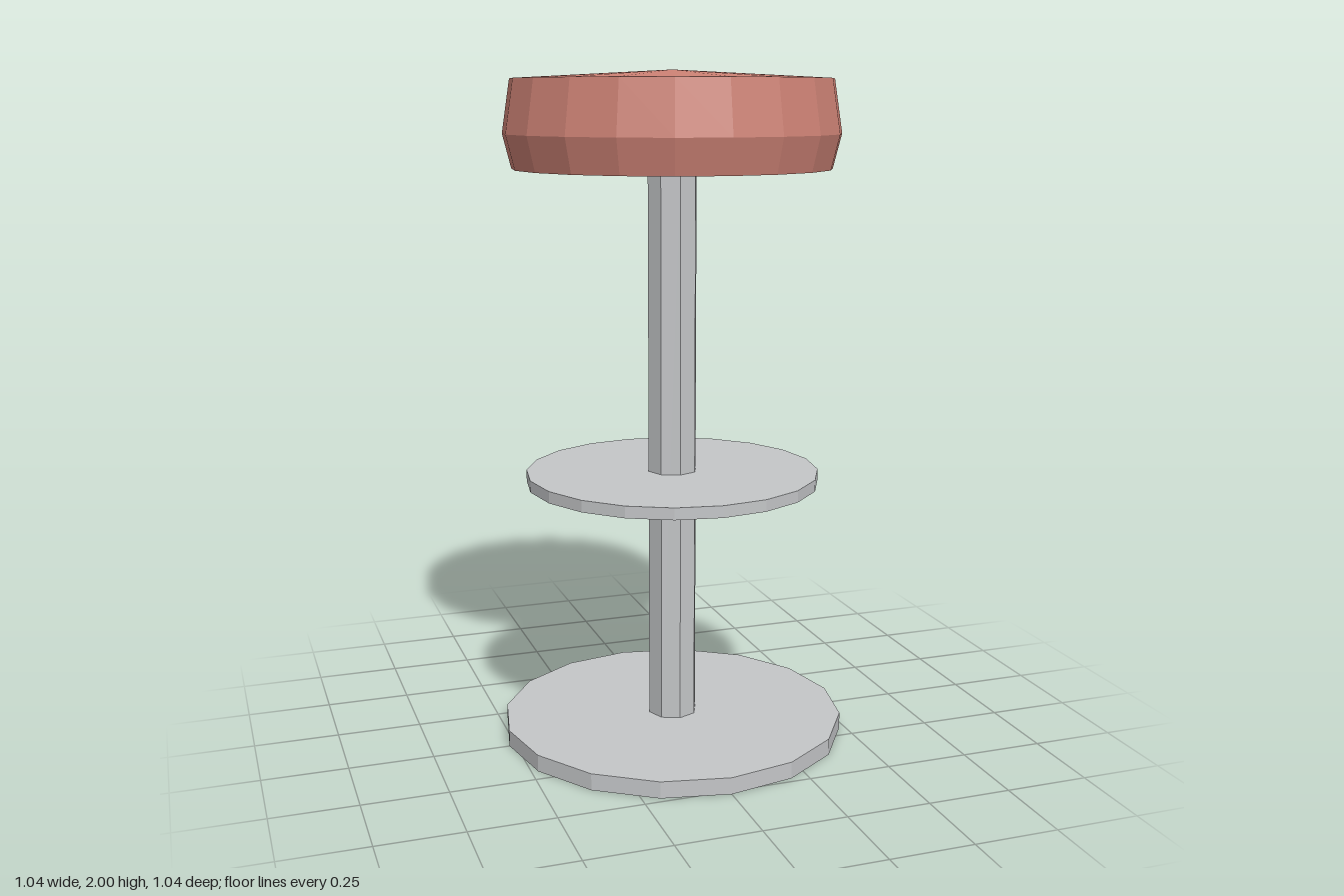
import * as THREE from 'three';

const paint = (name, color) => {
  const material = new THREE.MeshStandardMaterial({ color });
  material.name = name;
  return material;
};

// Splits shared corners so that every facet is shaded flat
const faceted = (geometry) => {
  const flat = geometry.toNonIndexed();
  flat.computeVertexNormals();
  return flat;
};

export function createModel() {
  const stool = new THREE.Group();
  stool.name = 'barStool';
  const metal = paint('greyMetal', 0xc4c6c8);
  const cushion = paint('redCushion', 0xcd8275);

  const add = (name, geometry, material) => {
    const mesh = new THREE.Mesh(faceted(geometry), material);
    mesh.name = name;
    stool.add(mesh);
  };

  // Upright prism standing between two heights
  const disc = (name, radius, bottom, top, sides) => {
    const geometry = new THREE.CylinderGeometry(radius, radius, top - bottom, sides);
    geometry.translate(0, (bottom + top) / 2, 0);
    add(name, geometry, metal);
  };

  disc('base', 0.52, 0, 0.05, 16);
  disc('pole', 0.075, 0.05, 1.72, 8);
  disc('footrest', 0.44, 0.785, 0.82, 20);

  // Padded seat with a bulging side and a shallow domed top
  const profile = [[0, 1.72], [0.467, 1.72], [0.492, 1.82], [0.468, 1.975], [0, 2]];
  add('seat', new THREE.LatheGeometry(profile.map(([r, y]) => new THREE.Vector2(r, y)), 20), cushion);

  return stool;
}
